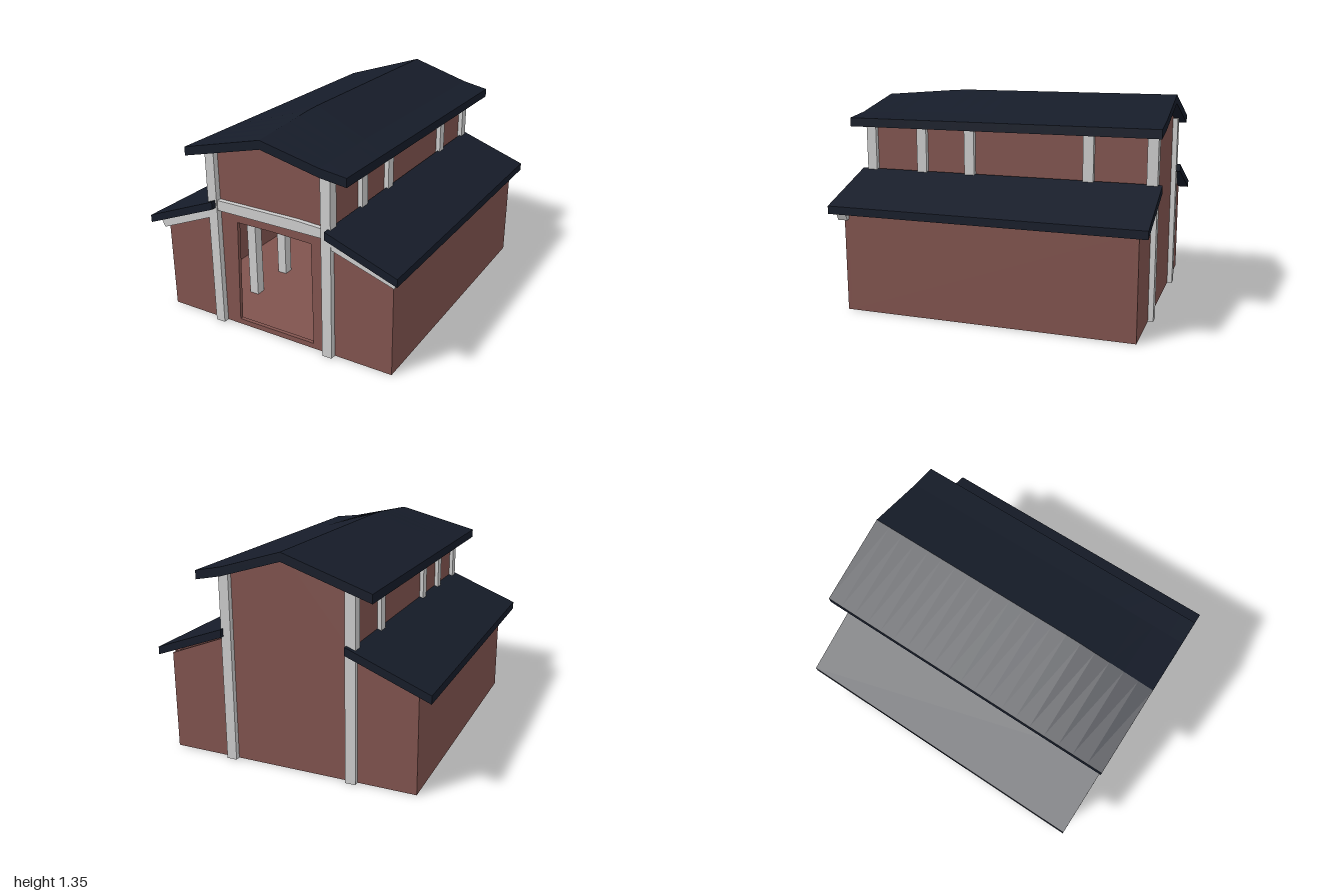
import * as THREE from 'three';

const mat = (color) => new THREE.MeshStandardMaterial({ color, flatShading: true, side: THREE.DoubleSide });
const wallMat = mat(0x80534e);
const roofMat = mat(0x161c29);
const timberMat = mat(0xcccccc);

const toShape = (pts) => new THREE.Shape(pts.map(([x, y]) => new THREE.Vector2(x, y)));

// Extrude an outline in x/y between two depths
function prism(name, shape, z0, z1, material, steps = 1) {
  const geo = new THREE.ExtrudeGeometry(shape, { depth: z1 - z0, steps, bevelEnabled: false });
  geo.translate(0, 0, z0);
  const mesh = new THREE.Mesh(geo, material);
  mesh.name = name;
  return mesh;
}

// Box given by its limits
function block(name, x0, x1, y0, y1, z0, z1, material) {
  const mesh = new THREE.Mesh(new THREE.BoxGeometry(x1 - x0, y1 - y0, z1 - z0), material);
  mesh.position.set((x0 + x1) / 2, (y0 + y1) / 2, (z0 + z1) / 2);
  mesh.name = name;
  return mesh;
}

// Roof slab: a top line thickened straight down
function roofSlab(name, top, thick, z0, z1, steps) {
  const under = top.map(([x, y]) => [x, y - thick]).reverse();
  return prism(name, toShape([...top, ...under]), z0, z1, roofMat, steps);
}

export function createModel() {
  const barn = new THREE.Group();
  barn.name = 'barn';

  // End walls, the front one with an open doorway
  const gable = (peak) => toShape([
    [-0.79, 0], [0.82, 0], [0.82, 0.63], [0.41, 0.79], [0.41, 1.19],
    [0.01, peak], [-0.40, 1.17], [-0.40, 0.79], [-0.79, 0.61],
  ]);
  const front = gable(1.28);
  front.holes.push(new THREE.Path([
    [-0.26, 0.035], [-0.24, 0.715], [0, 0.715], [0.285, 0.705], [0.29, 0.035],
  ].map(([x, y]) => new THREE.Vector2(x, y))));
  barn.add(prism('frontWall', front, 0.895, 0.92, wallMat));
  barn.add(prism('backWall', gable(1.3), -0.93, -0.905, wallMat));

  // Side walls, clerestory walls and floor
  const z0 = -0.905, z1 = 0.895;
  barn.add(block('leftWall', 0.795, 0.82, 0, 0.64, z0, z1, wallMat));
  barn.add(block('rightWall', -0.79, -0.765, 0, 0.62, z0, z1, wallMat));
  barn.add(block('leftUpperWall', 0.39, 0.41, 0.79, 1.19, z0, z1, wallMat));
  barn.add(block('rightUpperWall', -0.40, -0.38, 0.79, 1.16, z0, z1, wallMat));
  barn.add(block('floor', -0.765, 0.795, 0.002, 0.02, z0, z1, wallMat));

  // Five pairs of posts running from the ground to the upper roof
  for (const z of [0.925, 0.565, 0.235, -0.54, -0.93]) {
    barn.add(block('leftPost', 0.375, 0.44, 0, 1.19, z - 0.033, z + 0.033, timberMat));
    barn.add(block('rightPost', -0.425, -0.36, 0, 1.16, z - 0.033, z + 0.033, timberMat));
  }

  // Front beams
  barn.add(prism('crossBeam', toShape([
    [-0.36, 0.78], [0.375, 0.775], [0.375, 0.835], [0.2, 0.845], [-0.36, 0.845],
  ]), 0.9, 0.95, timberMat));
  barn.add(prism('leftRafter', toShape([
    [0.44, 0.72], [0.84, 0.587], [0.865, 0.645], [0.44, 0.80],
  ]), 0.89, 0.955, timberMat));
  barn.add(prism('rightRafter', toShape([
    [-0.425, 0.72], [-0.80, 0.567], [-0.83, 0.63], [-0.425, 0.79],
  ]), 0.89, 0.955, timberMat));

  // Lower roofs
  barn.add(roofSlab('leftLowerRoof', [[0.425, 0.848], [0.88, 0.68]], 0.05, -0.99, 1, 1));
  barn.add(roofSlab('rightLowerRoof', [[-0.88, 0.645], [-0.37, 0.848]], 0.05, -0.99, 0.99, 1));

  // Upper roof, its ridge sagging toward the front
  const upper = roofSlab('upperRoof',
    [[-0.54, 1.17], [0.01, 1.35], [0.40, 1.23], [0.57, 1.195]], 0.055, -1, 1, 20);
  const p = upper.geometry.attributes.position;
  for (let i = 0; i < p.count; i++) {
    const t = Math.max(0, (p.getZ(i) - 0.45) / 0.55);
    const ridge = Math.max(0, 1 - Math.abs(p.getX(i) - 0.01) / 0.55);
    p.setY(i, p.getY(i) - 0.043 * t * ridge);
  }
  upper.geometry.computeVertexNormals();
  barn.add(upper);

  return barn;
}
